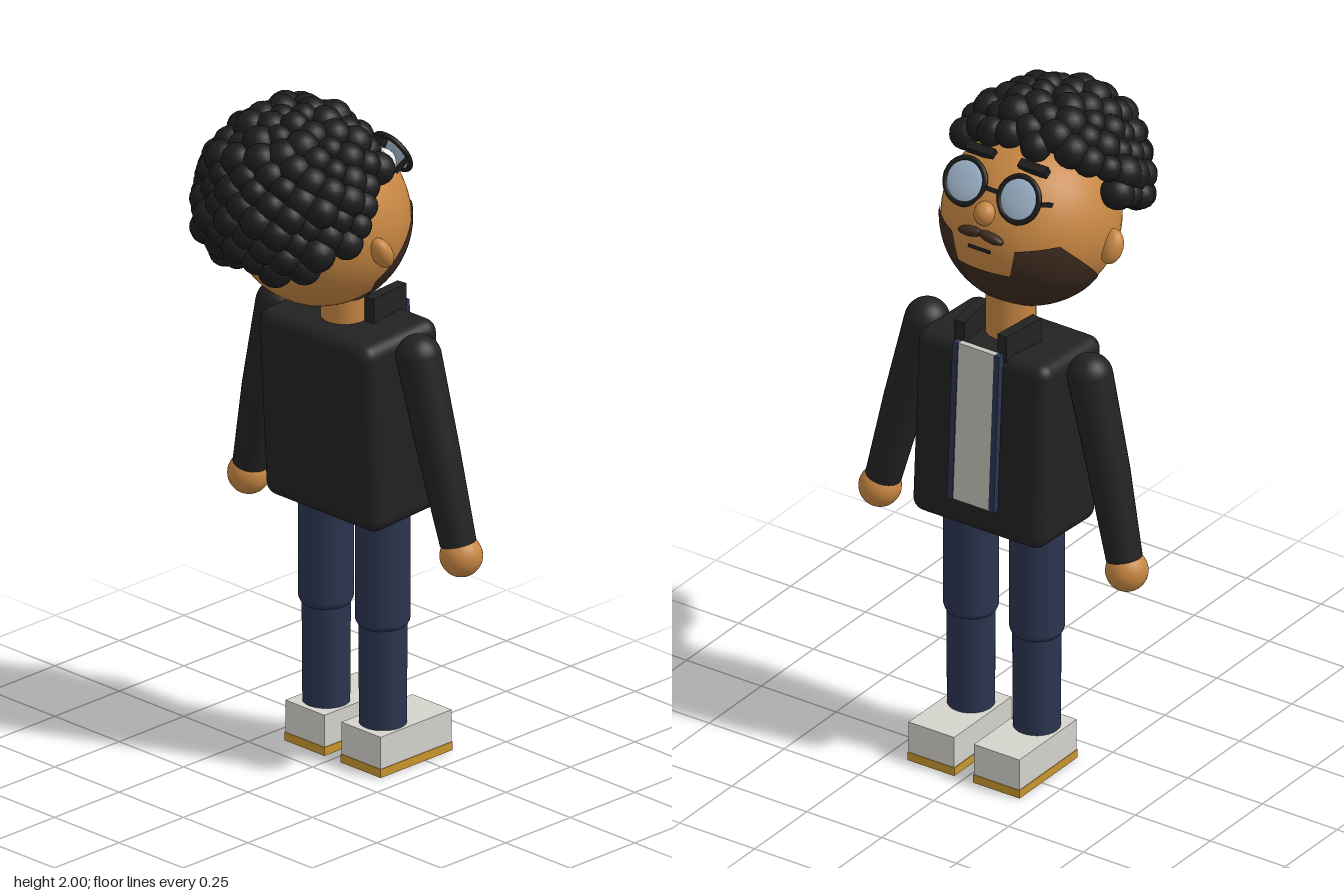
import * as THREE from 'three';
import { RoundedBoxGeometry } from 'three/addons/geometries/RoundedBoxGeometry.js';
import { ParametricGeometry } from 'three/addons/geometries/ParametricGeometry.js';

const material = (name, color, side = THREE.FrontSide) => {
  const m = new THREE.MeshStandardMaterial({ color, side });
  m.name = name;
  return m;
};

export function createModel() {
  const skin = material('skin', 0xc68642);
  const hairBlack = material('hair black', 0x1c1c1c);
  const jacketBlack = material('jacket black', 0x222222);
  const denim = material('denim', 0x2b3550);
  const shoeGrey = material('shoe grey', 0xd5d3cc);
  const soleGold = material('sole gold', 0xc9962f);
  const beardBrown = material('beard brown', 0x3d2b1f, THREE.DoubleSide);
  const lensBlue = material('lens blue', 0xa9c0d8);
  const eyeWhite = material('eye white', 0xeeeeee);
  const shirtGrey = material('shirt grey', 0xc4c2ba);

  const add = (parent, name, geometry, mat, x = 0, y = 0, z = 0) => {
    const mesh = new THREE.Mesh(geometry, mat);
    mesh.name = name;
    mesh.position.set(x, y, z);
    parent.add(mesh);
    return mesh;
  };
  const group = (parent, name, x, y, z, tilt) => {
    const g = new THREE.Group();
    g.name = name;
    g.position.set(x, y, z);
    g.rotation.x = tilt;
    parent.add(g);
    return g;
  };
  const box = (w, h, d) => new THREE.BoxGeometry(w, h, d);
  const ball = (r, sx = 1, sy = 1, sz = 1) => new THREE.SphereGeometry(r, 28, 20).scale(sx, sy, sz);
  // Tapered limb between two points, with a ball at its start
  const limb = (parent, name, from, to, r0, r1, mat) => {
    const a = new THREE.Vector3(...from), b = new THREE.Vector3(...to);
    const dir = b.clone().sub(a);
    const mid = a.clone().add(b).multiplyScalar(0.5);
    const mesh = add(parent, name, new THREE.CylinderGeometry(r0, r1, dir.length(), 28), mat, mid.x, mid.y, mid.z);
    mesh.quaternion.setFromUnitVectors(new THREE.Vector3(0, -1, 0), dir.normalize());
    add(parent, name + 'Joint', ball(r0), mat, a.x, a.y, a.z);
  };

  const model = new THREE.Group();
  model.name = 'figure';

  // Jacket body, leaning slightly back, with the open front
  const torso = group(model, 'torso', 0, 1.03, -0.15, 0.055);
  add(torso, 'jacket', new RoundedBoxGeometry(0.44, 0.565, 0.29, 5, 0.04), jacketBlack);
  add(torso, 'shirt', box(0.12, 0.48, 0.02), shirtGrey, 0, 0.05, -0.151);
  add(model, 'neck', new THREE.CylinderGeometry(0.07, 0.07, 0.16, 28), skin, 0, 1.38, -0.13);

  for (const s of [-1, 1]) {
    add(torso, 'zipEdge', box(0.018, 0.48, 0.022), denim, s * 0.069, 0.05, -0.153);
    const collar = add(model, 'collar', box(0.032, 0.08, 0.145), jacketBlack, s * 0.08, 1.345, -0.203);
    collar.rotation.y = s * 0.12;

    // Arms
    const elbow = [s * 0.342, 0.99, -0.15], wrist = [s * 0.402, 0.74, -0.163];
    limb(model, 'upperArm', [s * 0.272, 1.263, -0.14], elbow, 0.064, 0.059, jacketBlack);
    limb(model, 'forearm', elbow, wrist, 0.059, 0.051, jacketBlack);
    add(model, 'hand', ball(0.06), skin, s * 0.412, 0.705, -0.165);

    // Legs and shoes
    limb(model, 'thigh', [s * 0.11, 0.76, -0.162], [s * 0.11, 0.435, -0.162], 0.077, 0.077, denim);
    limb(model, 'shin', [s * 0.11, 0.42, -0.163], [s * 0.11, 0.11, -0.163], 0.068, 0.066, denim);
    add(model, 'knee', ball(0.076, 1, 0.5, 1), denim, s * 0.11, 0.433, -0.162);
    add(model, 'shoe', box(0.152, 0.095, 0.275), shoeGrey, s * 0.109, 0.0725, -0.217);
    add(model, 'sole', box(0.156, 0.025, 0.279), soleGold, s * 0.109, 0.0125, -0.217);
  }

  // Head, looking upward
  const head = group(model, 'head', 0, 1.635, -0.03, 0.45);
  add(head, 'skull', new THREE.SphereGeometry(0.25, 48, 32), skin);
  add(head, 'nose', ball(0.035, 0.95, 1, 1), skin, 0, -0.005, -0.242);
  add(head, 'mouth', box(0.07, 0.009, 0.012), hairBlack, 0, -0.106, -0.226);
  add(head, 'glassesBridge', box(0.05, 0.012, 0.012), hairBlack, 0, 0.062, -0.24);

  for (const s of [-1, 1]) {
    add(head, 'ear', ball(0.05, 0.7, 1, 0.56), skin, s * 0.255, -0.02, 0.028);
    add(head, 'eye', ball(0.04), eyeWhite, s * 0.09, 0.062, -0.195);
    add(head, 'lens', ball(0.062, 1, 1, 0.16), lensBlue, s * 0.09, 0.062, -0.24);
    add(head, 'glassesRim', new THREE.TorusGeometry(0.064, 0.008, 10, 40), hairBlack, s * 0.09, 0.062, -0.24);
    add(head, 'glassesArm', box(0.01, 0.012, 0.085), hairBlack, s * 0.157, 0.066, -0.2);
    const brow = add(head, 'eyebrow', box(0.09, 0.025, 0.025), hairBlack, s * 0.088, 0.15, -0.2);
    brow.rotation.x = 0.6;
    const lobe = add(head, 'moustache', ball(0.04, 1.05, 0.38, 0.5), beardBrown, s * 0.033, -0.064, -0.238);
    lobe.rotation.z = -s * 0.15;
  }

  // Beard shell: high on the cheeks, cut away around the mouth
  const beardTop = (deg) => {
    if (deg < 23) return -24;
    if (deg < 52) return -5 + (deg - 23) * 0.2;
    return 1 - (deg - 52) * 0.69;
  };
  const beard = add(head, 'beard', new ParametricGeometry((u, v, p) => {
    const deg = (u - 0.5) * 194;
    const top = beardTop(Math.abs(deg));
    const a = THREE.MathUtils.degToRad(deg);
    const e = THREE.MathUtils.degToRad(top + (-89.5 - top) * v);
    p.set(Math.cos(e) * Math.sin(a), Math.sin(e), -Math.cos(e) * Math.cos(a)).multiplyScalar(0.255);
  }, 96, 20), beardBrown);
  beard.rotation.x = -0.28;

  // Curly hair: balls spread evenly over a shell, kept above the hairline
  const hair = group(model, 'hair', 0, 0, 0, 0);
  const count = 230, shell = 0.248;
  let seed = 7;
  const random = () => (seed = (seed * 16807) % 2147483647) / 2147483647;
  const curl = new THREE.SphereGeometry(1, 16, 12);
  for (let i = 0; i < count; i++) {
    const up = 1 - (2 * i + 1) / count, ring = Math.sqrt(1 - up * up), turn = i * 2.39996;
    const r = 0.038 + random() * 0.014, reach = shell + (random() - 0.5) * 0.02;
    const x = reach * ring * Math.cos(turn) * 1.04;
    const y = 1.708 + reach * up;
    const z = 0.06 + reach * ring * Math.sin(turn);
    const back = 0.27 - z;
    if (y < 1.58 + 0.4 * back + 1.1 * back * Math.abs(back)) continue;
    add(hair, 'curl', curl, hairBlack, x, y, z).scale.setScalar(r);
  }
  return model;
}
